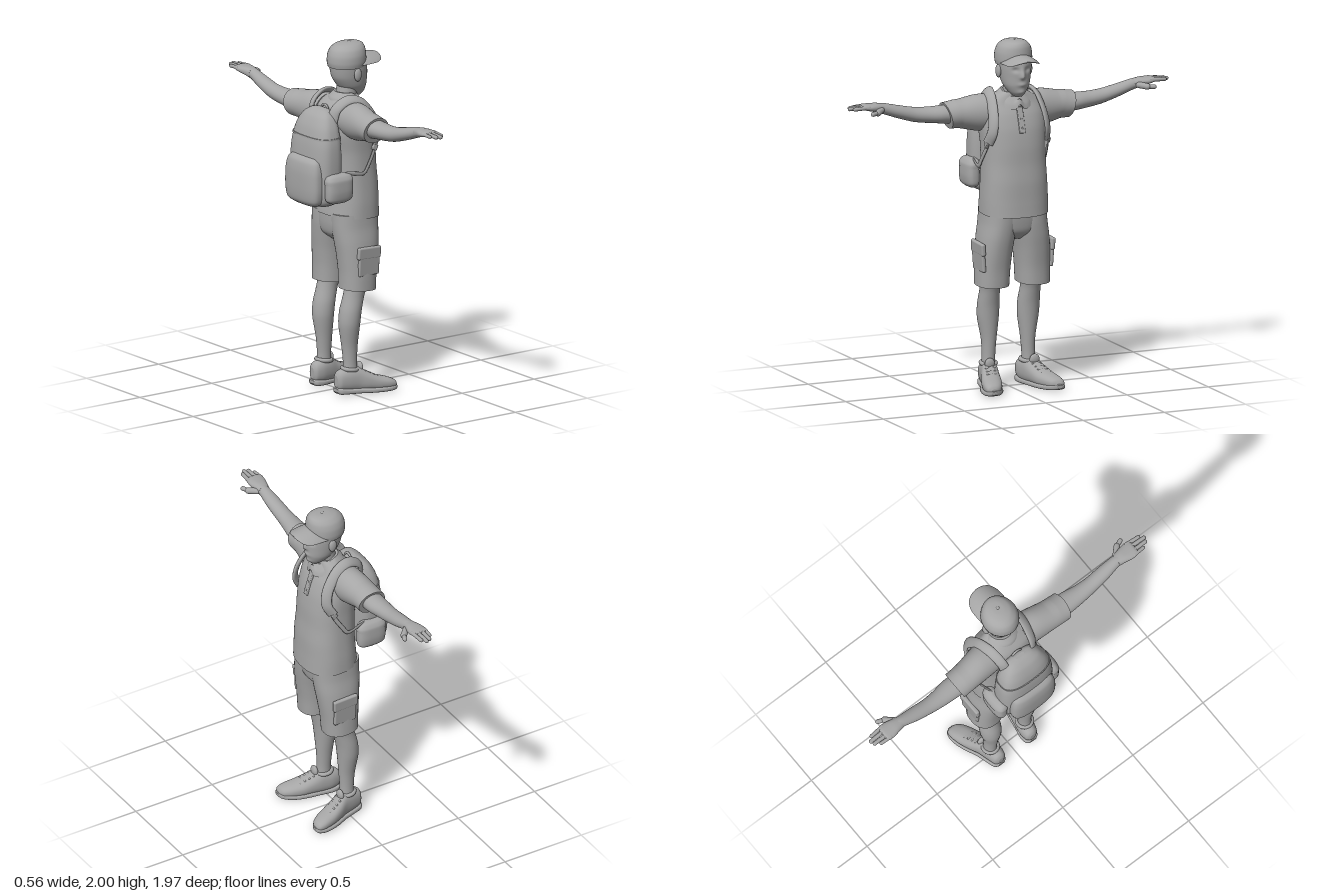
import * as THREE from 'three';
import { RoundedBoxGeometry } from 'three/addons/geometries/RoundedBoxGeometry.js';

const V = (x, y, z) => new THREE.Vector3(x, y, z);

// Skin a list of rings (right-handed about the direction of travel), with crisp flat caps
function skin(rings) {
  const n = rings[0].length, pos = [], idx = [];
  rings.forEach(r => r.forEach(p => pos.push(p.x, p.y, p.z)));
  for (let i = 0; i < rings.length - 1; i++)
    for (let j = 0; j < n; j++) {
      const a = i * n + j, b = i * n + (j + 1) % n;
      idx.push(a, b, a + n, b, b + n, a + n);
    }
  [rings[0], rings[rings.length - 1]].forEach((ring, end) => {
    const base = pos.length / 3, c = V(0, 0, 0);
    ring.forEach(p => { pos.push(p.x, p.y, p.z); c.addScaledVector(p, 1 / n); });
    pos.push(c.x, c.y, c.z);
    for (let j = 0; j < n; j++) {
      const a = base + j, b = base + (j + 1) % n;
      end ? idx.push(a, b, base + n) : idx.push(b, a, base + n);
    }
  });
  const g = new THREE.BufferGeometry();
  g.setAttribute('position', new THREE.Float32BufferAttribute(pos, 3));
  g.setIndex(idx);
  g.computeVertexNormals();
  return g;
}

// Smooth loft of superellipses. Rows are [t, c1, c2, r1, r2] in the cyclic order
// y: (y, z, x)   x: (x, y, z)   z: (z, x, y)
function loft(axis, rows, { power = 2, seg = 36, sub = 5, warp } = {}) {
  const rings = [], last = rows.length - 1;
  const place = { y: (t, u, v) => V(v, t, u), x: (t, u, v) => V(t, u, v), z: (t, u, v) => V(u, v, t) }[axis];
  const sp = c => Math.sign(c) * Math.abs(c) ** (2 / power);
  for (let k = 0; k <= last * sub; k++) {
    const i = Math.min(Math.floor(k / sub), last - 1), s = k / sub - i;
    const a = rows[Math.max(i - 1, 0)], b = rows[i], c = rows[i + 1], d = rows[Math.min(i + 2, last)];
    const [t, u, v, ru, rv] = b.map((_, q) => {
      const m0 = (c[q] - a[q]) * 0.42, m1 = (d[q] - b[q]) * 0.42, s2 = s * s, s3 = s2 * s;
      return (2 * s3 - 3 * s2 + 1) * b[q] + (s3 - 2 * s2 + s) * m0 + (3 * s2 - 2 * s3) * c[q] + (s3 - s2) * m1;
    });
    rings.push(Array.from({ length: seg }, (_, j) => {
      const w = j / seg * Math.PI * 2;
      const p = place(t, u + ru * sp(Math.cos(w)), v + rv * sp(Math.sin(w)));
      if (warp) warp(p);
      return p;
    }));
  }
  return skin(rings);
}

// Flat webbing swept along a path, lying against the body around `centre`
function strap(points, width, thick, centre) {
  const curve = new THREE.CatmullRomCurve3(points.map(p => V(...p))), rings = [];
  for (let i = 0; i <= 48; i++) {
    const P = curve.getPointAt(i / 48), T = curve.getTangentAt(i / 48);
    const N = P.clone().sub(centre);
    N.addScaledVector(T, -N.dot(T)).normalize();
    const W = N.clone().cross(T);
    rings.push(Array.from({ length: 14 }, (_, j) => {
      const a = j / 14 * Math.PI * 2;
      return P.clone().addScaledVector(W, width / 2 * Math.cos(a)).addScaledVector(N, thick / 2 * Math.sin(a));
    }));
  }
  return skin(rings);
}

const ball = (x, y, z, a, b, c) => new THREE.SphereGeometry(1, 24, 16).scale(a, b, c).translate(x, y, z);

// Capsule between two points
function rod(a, b, r) {
  const d = b.clone().sub(a), q = new THREE.Quaternion().setFromUnitVectors(V(0, 1, 0), d.clone().normalize());
  const mid = a.clone().add(b).multiplyScalar(0.5);
  return new THREE.CapsuleGeometry(r, d.length(), 6, 14).applyQuaternion(q).translate(mid.x, mid.y, mid.z);
}

function mirrored(geo) {
  const g = geo.clone().scale(-1, 1, 1);
  const src = g.index ? Array.from(g.index.array) : Array.from({ length: g.attributes.position.count }, (_, i) => i);
  for (let i = 0; i < src.length; i += 3) [src[i + 1], src[i + 2]] = [src[i + 2], src[i + 1]];
  g.setIndex(src);
  return g;
}

export function createModel() {
  const grey = new THREE.MeshStandardMaterial({ color: 0xa6a6a6 });
  grey.name = 'plain grey';
  const body = new THREE.Group();
  body.name = 'hiker';
  const add = (name, g) => {
    const m = new THREE.Mesh(g, grey);
    m.name = name;
    body.add(m);
  };
  const pair = (name, g) => { add(name, g); add(name, mirrored(g)); };
  const bump = (d, s) => Math.exp(-((d / s) ** 2));

  // Head with nose, eye sockets, lips and chin pushed out of the loft
  add('head', loft('y', [[1.685, .125, 0, .035, .025], [1.71, .115, 0, .062, .05], [1.75, .1, 0, .088, .074],
    [1.8, .085, 0, .106, .086], [1.85, .08, 0, .113, .092], [1.9, .075, 0, .11, .093], [1.95, .07, 0, .09, .08]],
  { seg: 88, sub: 10, warp: p => {
    if (p.z < .1) return;
    p.z += .021 * bump(p.x, .014) * bump(p.y - 1.802, p.y < 1.802 ? .012 : .035)
      - .011 * bump(Math.abs(p.x) - .036, .018) * bump(p.y - 1.842, .014)
      + .006 * bump(p.x, .025) * bump(p.y - 1.757, .011) + .007 * bump(p.x, .025) * bump(p.y - 1.712, .014);
  } }));
  pair('ear', ball(.096, 1.825, .075, .014, .038, .024).rotateZ(0));
  add('neck', loft('y', [[1.62, .045, 0, .065, .07], [1.68, .06, 0, .058, .06], [1.76, .075, 0, .06, .06]]));

  // Cap
  add('capCrown', loft('y', [[1.862, .066, 0, .108, .1], [1.89, .066, 0, .114, .105], [1.93, .067, 0, .112, .103],
    [1.965, .072, 0, .102, .09], [1.988, .08, 0, .08, .066], [1.998, .085, 0, .045, .036], [2, .086, 0, .01, .01]]));
  add('capVisor', loft('z', [[.1, 0, 1.913, .098, .009], [.17, 0, 1.917, .1, .01], [.215, 0, 1.913, .094, .01],
    [.25, 0, 1.908, .075, .009], [.268, 0, 1.905, .045, .007], [.275, 0, 1.904, .012, .003]],
  { warp: p => { p.y -= 4.2 * p.x * p.x; } }));
  add('capButton', ball(0, 1.998, .086, .01, .005, .01));

  // Polo shirt
  add('shirt', loft('y', [[1.015, .066, 0, .158, .194], [1.1, .068, 0, .152, .193], [1.2, .07, 0, .147, .188],
    [1.3, .065, 0, .142, .184], [1.4, .06, 0, .141, .184], [1.5, .045, 0, .141, .19], [1.58, .035, 0, .125, .188],
    [1.64, .03, 0, .1, .165], [1.68, .042, 0, .078, .115], [1.705, .055, 0, .062, .07]],
  { power: 2.4, seg: 64, warp: p => { if (p.y < 1.06) p.y -= .07 * (p.z - .066); } }));
  pair('sleeve', loft('x', [[.1, 1.585, .02, .1, .1], [.2, 1.583, .008, .103, .092], [.3, 1.583, -.004, .083, .085],
    [.35, 1.58, -.007, .077, .084], [.38, 1.578, -.008, .075, .084]],
  { warp: p => { if (p.x > .3) p.x += (p.y - 1.58) * .25; } }));
  add('collar', loft('y', [[1.668, .06, 0, .103, .108], [1.692, .06, 0, .094, .096], [1.72, .062, 0, .068, .07]],
    { seg: 72, warp: p => {
      const f = Math.max(0, (p.z - .05) / .1);
      p.y += f * (-.055 + .03 * bump(p.x, .02) * (p.y < 1.7 ? 1 : .3));
    } }));
  add('placket', new RoundedBoxGeometry(.036, .15, .014, 2, .005).rotateX(-.29).translate(0, 1.553, .171));
  [1.51, 1.56].forEach(y => add('shirtButton', ball(0, y, .193 - (y - 1.5) * .31, .006, .006, .004)));

  // Arms and hands
  pair('arm', loft('x', [[.33, 1.585, -.01, .058, .062], [.42, 1.588, -.01, .05, .062], [.5, 1.592, -.015, .045, .053],
    [.58, 1.602, -.016, .042, .046], [.68, 1.628, -.012, .037, .042], [.76, 1.652, -.008, .032, .034],
    [.8, 1.66, -.008, .026, .035]]));
  pair('palm', loft('x', [[.77, 1.654, -.008, .03, .034], [.81, 1.663, -.009, .026, .042], [.85, 1.668, -.01, .021, .05],
    [.885, 1.672, -.011, .016, .049], [.9, 1.672, -.011, .008, .043]], { power: 2.3 }));
  [[-.05, .935, .010], [-.025, .965, .0115], [.002, .974, .0115], [.028, .952, .011]].forEach(([z, tip, r]) =>
    pair('finger', rod(V(.87, 1.674, z), V(tip, 1.67, z * .85 - .003), r)));
  pair('thumb', rod(V(.79, 1.652, .02), V(.83, 1.646, .06), .018));
  pair('thumb', rod(V(.83, 1.646, .06), V(.865, 1.645, .074), .013));

  // Cargo shorts
  add('shortsSeat', loft('y', [[.865, .055, 0, .07, .06], [.91, .055, 0, .125, .14], [.97, .055, 0, .14, .18],
    [1.05, .058, 0, .145, .186]], { power: 2.3, seg: 48 }));
  pair('shortsLeg', loft('y', [[.603, .048, .125, .103, .094], [.7, .051, .122, .108, .096], [.8, .054, .115, .12, .098],
    [.88, .055, .105, .131, .1], [.96, .055, .092, .139, .1], [1.04, .056, .086, .142, .1]],
  { power: 2.3, warp: p => { if (p.y < .65) p.y -= .07 * (p.z - .05); } }));
  pair('cargoPocket', new RoundedBoxGeometry(.022, .15, .14, 3, .009).rotateZ(-.07).translate(.211, .765, .065));
  pair('pocketFlap', new RoundedBoxGeometry(.026, .07, .155, 3, .01).rotateZ(-.07).rotateX(.04).translate(.214, .822, .065));

  // Legs
  pair('leg', loft('y', [[.09, 0, .125, .046, .04], [.18, 0, .122, .041, .037], [.28, -.002, .12, .048, .043],
    [.4, -.006, .123, .061, .061], [.48, .002, .124, .063, .063], [.56, .022, .125, .062, .057],
    [.62, .038, .125, .066, .06], [.72, .05, .122, .075, .07]]));

  // Shoes, toes turned out
  pair('shoe', loft('z', [[-.09, .113, .08, .018, .03], [-.075, .114, .08, .038, .055], [-.03, .118, .082, .049, .07],
    [.03, .13, .082, .053, .075], [.08, .147, .068, .058, .06], [.14, .165, .052, .061, .046],
    [.2, .184, .044, .055, .036], [.238, .196, .038, .04, .026], [.252, .2, .034, .018, .012]],
  { power: 2.3, warp: p => { p.y = Math.max(p.y, .015); } }));
  pair('shoeSole', loft('z', [[-.092, .113, .028, .022, .01], [-.075, .114, .024, .042, .02], [-.03, .119, .02, .051, .018],
    [.04, .136, .018, .055, .017], [.1, .155, .017, .064, .017], [.16, .172, .017, .067, .017],
    [.21, .187, .018, .058, .017], [.243, .197, .021, .04, .016], [.257, .201, .024, .016, .01]], { power: 3.2 }));
  pair('shoeCollar', new THREE.TorusGeometry(.042, .012, 10, 28).rotateX(Math.PI / 2 + .12).translate(.122, .142, -.002));
  pair('shoeTongue', ball(.138, .148, .052, .03, .032, .016));
  for (let i = 0; i < 4; i++) {
    const z = .068 + i * .024, y = .131 - i * .0125, x = .143 + i * .007;
    pair('shoelace', rod(V(x - .026, y - .004, z), V(x + .026, y - .004, z + .004), .006));
  }

  // Backpack
  add('packBody', loft('y', [[1.105, -.15, 0, .055, .12], [1.13, -.15, 0, .085, .16], [1.2, -.148, 0, .094, .175],
    [1.35, -.146, 0, .096, .177], [1.46, -.143, 0, .09, .17], [1.55, -.136, 0, .076, .148], [1.61, -.125, 0, .056, .115],
    [1.64, -.115, 0, .032, .075], [1.65, -.112, 0, .01, .03]], { power: 2.8, seg: 56 }));
  add('packFrontPocket', loft('y', [[1.108, -.215, 0, .025, .1], [1.135, -.222, 0, .05, .138], [1.2, -.224, 0, .057, .15],
    [1.3, -.224, 0, .056, .148], [1.36, -.222, 0, .047, .135], [1.385, -.218, 0, .03, .11], [1.395, -.215, 0, .01, .08]],
  { power: 2.8, seg: 48 }));
  pair('packSidePocket', loft('y', [[1.135, -.122, .178, .05, .018], [1.155, -.122, .182, .082, .036],
    [1.2, -.122, .184, .087, .041], [1.25, -.122, .184, .086, .039]], { power: 2.8 }));
  pair('packSideFlap', loft('y', [[1.247, -.122, .183, .088, .043], [1.27, -.122, .182, .088, .041],
    [1.292, -.122, .178, .075, .03], [1.303, -.122, .174, .045, .012]], { power: 2.8 }));
  add('packZip', loft('y', [[1.492, -.142, 0, .089, .166], [1.502, -.141, 0, .089, .166]], { power: 2.8, seg: 56, sub: 1 }));
  add('packHandle', new THREE.TorusGeometry(.03, .007, 8, 24, Math.PI).translate(0, 1.63, -.085));

  // Padded shoulder straps with thin adjusters running back under the arm
  const centre = V(0, 1.52, .02);
  pair('shoulderStrap', strap([[.1, 1.58, -.11], [.11, 1.655, -.085], [.125, 1.7, -.01], [.14, 1.685, .06],
    [.15, 1.63, .115], [.16, 1.56, .152], [.17, 1.49, .158], [.182, 1.43, .128]], .062, .026, centre));
  pair('strapAdjuster', strap([[.18, 1.45, .14], [.188, 1.4, .118], [.198, 1.33, .075], [.2, 1.285, .04],
    [.197, 1.287, 0], [.185, 1.295, -.05], [.17, 1.29, -.1]], .024, .012, V(0, 1.33, .03)));
  pair('strapBuckle', new RoundedBoxGeometry(.016, .034, .034, 2, .005).rotateX(.5).translate(.19, 1.42, .122));

  // The figure looks along +x with its arms along z
  body.rotation.y = Math.PI / 2;
  const model = new THREE.Group();
  model.name = 'hikerModel';
  model.add(body);
  return model;
}
